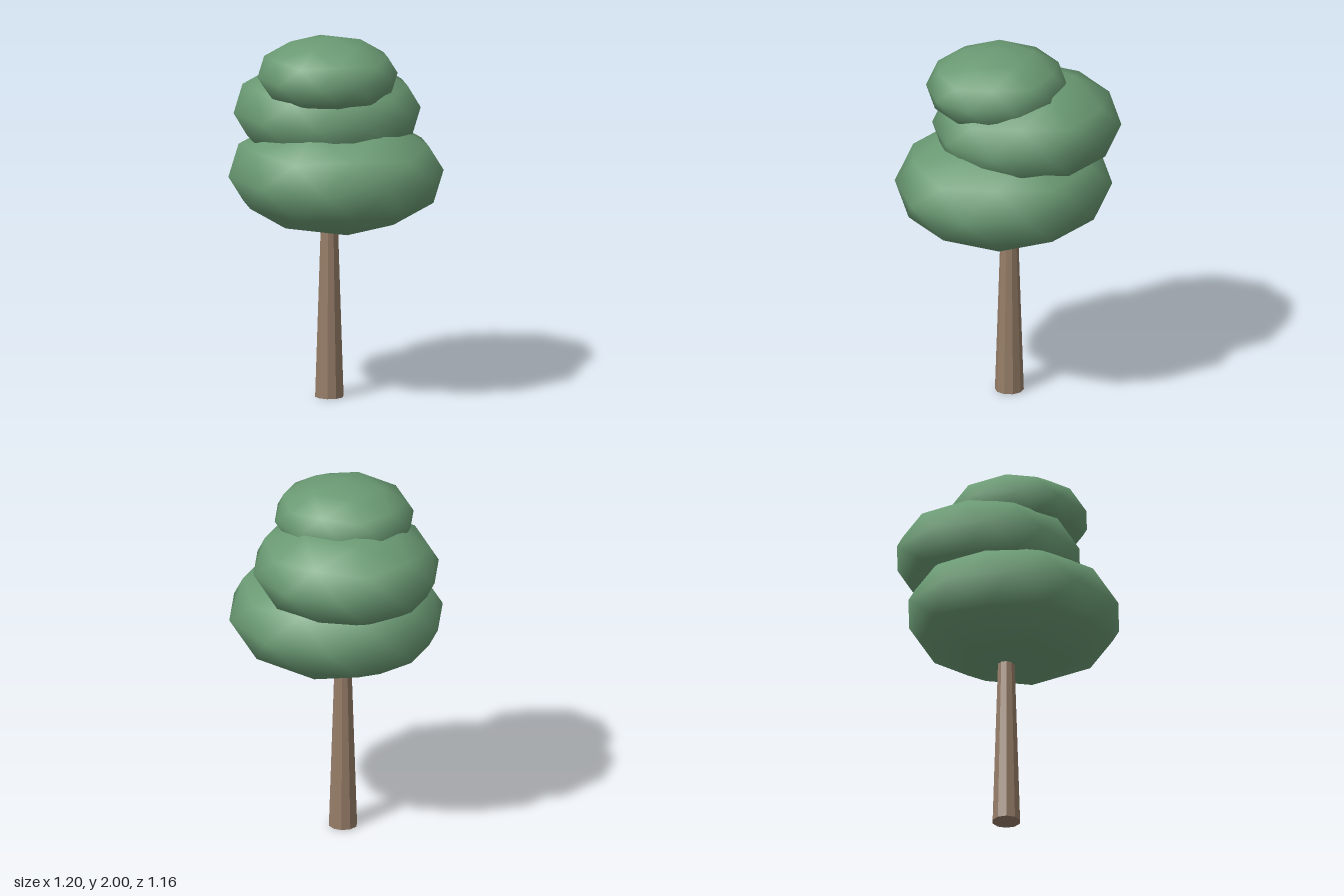
import * as THREE from 'three';

export function createModel() {
  const tree = new THREE.Group();
  tree.name = 'tree';

  const leafGreen = new THREE.MeshStandardMaterial({ color: 0x6b9b74 });
  leafGreen.name = 'leafGreen';
  const barkBrown = new THREE.MeshStandardMaterial({ color: 0x967d68, flatShading: true });
  barkBrown.name = 'barkBrown';

  // Tapered ten-sided trunk, ending inside the lowest crown
  const trunkHeight = 1.1;
  const trunk = new THREE.Mesh(
    new THREE.CylinderGeometry(0.042, 0.078, trunkHeight, 10), barkBrown);
  trunk.position.set(-0.025, trunkHeight / 2, 0);
  trunk.name = 'trunk';
  tree.add(trunk);

  // Flattened smooth icospheres, each standing on one of its corners
  const tilt = -Math.atan(2 / (1 + Math.sqrt(5)));
  const crowns = [
    { name: 'lowerCrown', center: [0.025, 1.24, 0], radii: [0.605, 0.322, 0.578] },
    { name: 'middleCrown', center: [-0.1, 1.56, -0.06], radii: [0.526, 0.287, 0.502] },
    { name: 'topCrown', center: [0.015, 1.79, 0.055], radii: [0.394, 0.21, 0.376] },
  ];
  for (const { name, center, radii } of crowns) {
    const geometry = new THREE.IcosahedronGeometry(1, 1);
    geometry.rotateZ(tilt).scale(...radii);
    const crown = new THREE.Mesh(geometry, leafGreen);
    crown.position.set(...center);
    crown.name = name;
    tree.add(crown);
  }

  return tree;
}
